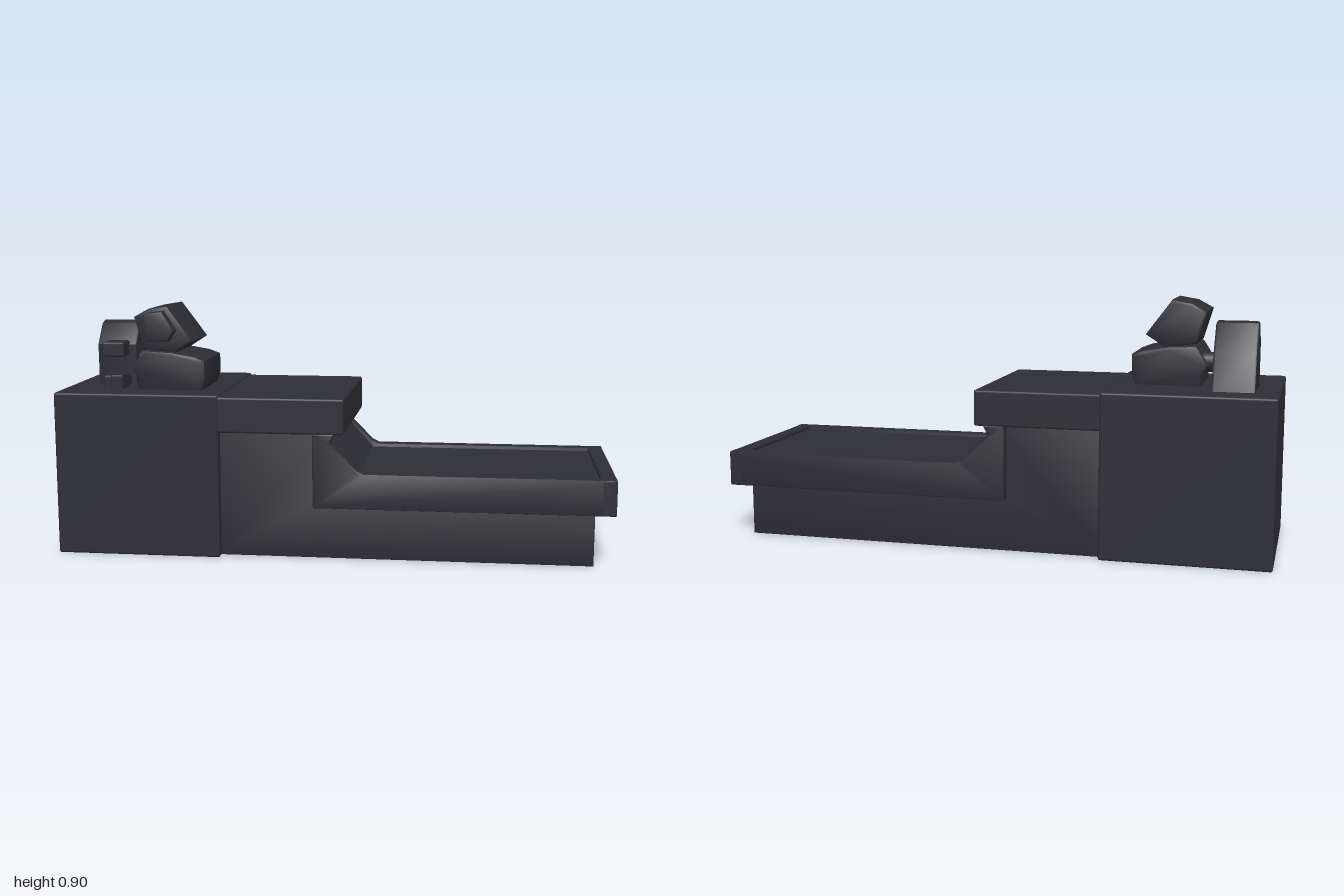
import * as THREE from 'three';
import { RoundedBoxGeometry } from 'three/addons/geometries/RoundedBoxGeometry.js';
import { toCreasedNormals } from 'three/addons/utils/BufferGeometryUtils.js';

export function createModel() {
  const model = new THREE.Group();
  model.name = 'checkoutCounter';
  const charcoal = new THREE.MeshStandardMaterial({ color: 0x2d2d35 });
  charcoal.name = 'charcoal';

  function add(name, geometry, parent = model) {
    const mesh = new THREE.Mesh(geometry, charcoal);
    mesh.name = name;
    parent.add(mesh);
    return mesh;
  }

  // Rounded box given by its limits on each axis
  function box(name, [x0, x1], [y0, y1], [z0, z1], r = 0.008, parent = model) {
    const mesh = add(name, new RoundedBoxGeometry(x1 - x0, y1 - y0, z1 - z0, 2, r), parent);
    mesh.position.set((x0 + x1) / 2, (y0 + y1) / 2, (z0 + z1) / 2);
    return mesh;
  }

  // Profile in x and y, run from z0 to z1 with a small bevel inside the outline
  function prism(points, z0, z1, bevel = 0.006) {
    const shape = new THREE.Shape(points.map(([x, y]) => new THREE.Vector2(x, y)));
    const geometry = new THREE.ExtrudeGeometry(shape, {
      depth: z1 - z0 - 2 * bevel, bevelEnabled: bevel > 0, bevelSize: bevel,
      bevelOffset: -bevel, bevelThickness: bevel, bevelSegments: 2
    });
    geometry.translate(0, 0, z0 + bevel);
    return toCreasedNormals(geometry, 0.6);
  }

  // Cabinet, overhanging counter top and recessed plinth
  box('cabinet', [-1, -0.4], [0, 0.592], [-0.32, 0.32]);
  box('counterTop', [-0.45, 0.05], [0.457, 0.585], [-0.316, 0.316]);
  add('plinth', prism([
    [-0.42, 0.002], [0.93, 0.002], [0.93, 0.21], [-0.03, 0.21], [-0.03, 0.47], [-0.42, 0.47]
  ], -0.285, 0.285));

  // Bagging tray: sloped chute and floor between two raised side rails
  const tray = new THREE.Group();
  tray.name = 'baggingTray';
  model.add(tray);
  for (const [name, z] of [['frontRail', 0.273], ['backRail', -0.322]]) {
    add(name, prism([
      [-0.062, 0.193], [0.998, 0.193], [0.998, 0.321], [0.12, 0.321], [0.095, 0.333],
      [0.0, 0.43], [0.015, 0.46], [-0.062, 0.46]
    ], z, z + 0.049, 0.005), tray);
  }
  add('trayFloor', prism([
    [-0.055, 0.194], [0.99, 0.194], [0.99, 0.308], [0.1, 0.308], [-0.02, 0.44], [-0.055, 0.44]
  ], -0.28, 0.28, 0), tray);
  box('trayEndRim', [0.945, 1], [0.193, 0.321], [-0.322, 0.322], 0.006, tray);

  // Till: tapered base with a tilted head
  const till = new THREE.Group();
  till.name = 'till';
  model.add(till);
  add('tillFoot', prism([
    [-0.72, 0.585], [-0.485, 0.585], [-0.47, 0.63], [-0.47, 0.7], [-0.51, 0.715],
    [-0.6, 0.73], [-0.7, 0.735], [-0.745, 0.665], [-0.72, 0.63]
  ], -0.07, 0.2, 0.012), till);
  add('tillHead', prism([
    [-0.735, 0.855], [-0.68, 0.885], [-0.61, 0.897], [-0.515, 0.77], [-0.585, 0.725], [-0.7, 0.74]
  ], -0.05, 0.19, 0.012), till);
  add('tillHeadFront', prism([
    [-0.705, 0.85], [-0.67, 0.873], [-0.62, 0.88], [-0.575, 0.81], [-0.6, 0.77], [-0.68, 0.77]
  ], 0.17, 0.23, 0.008), till);

  // Printer: wedge leaning forward, with a small box on its front
  const printer = new THREE.Group();
  printer.name = 'receiptPrinter';
  model.add(printer);
  const wedge = prism([
    [-0.2, 0.585], [0.045, 0.585], [0.05, 0.74], [-0.01, 0.815], [-0.04, 0.826],
    [-0.07, 0.82], [-0.15, 0.72]
  ], -0.075, 0.075, 0.008);
  // Turn the profile so that its x runs along z
  wedge.rotateY(-Math.PI / 2);
  add('printerBody', wedge, printer).position.x = -0.842;
  box('printerFront', [-0.88, -0.795], [0.7, 0.755], [0.03, 0.12], 0.008, printer);
  box('printerFoot', [-0.88, -0.79], [0.585, 0.63], [0.03, 0.11], 0.008, printer);

  // Arm joining the printer and the till, and a small holder beside the till
  const arm = add('linkArm', new THREE.CylinderGeometry(0.036, 0.036, 0.13, 12));
  arm.rotation.z = Math.PI / 2;
  arm.position.set(-0.74, 0.675, -0.02);
  box('holder', [-0.82, -0.775], [0.585, 0.645], [0.13, 0.21], 0.006);

  return model;
}
